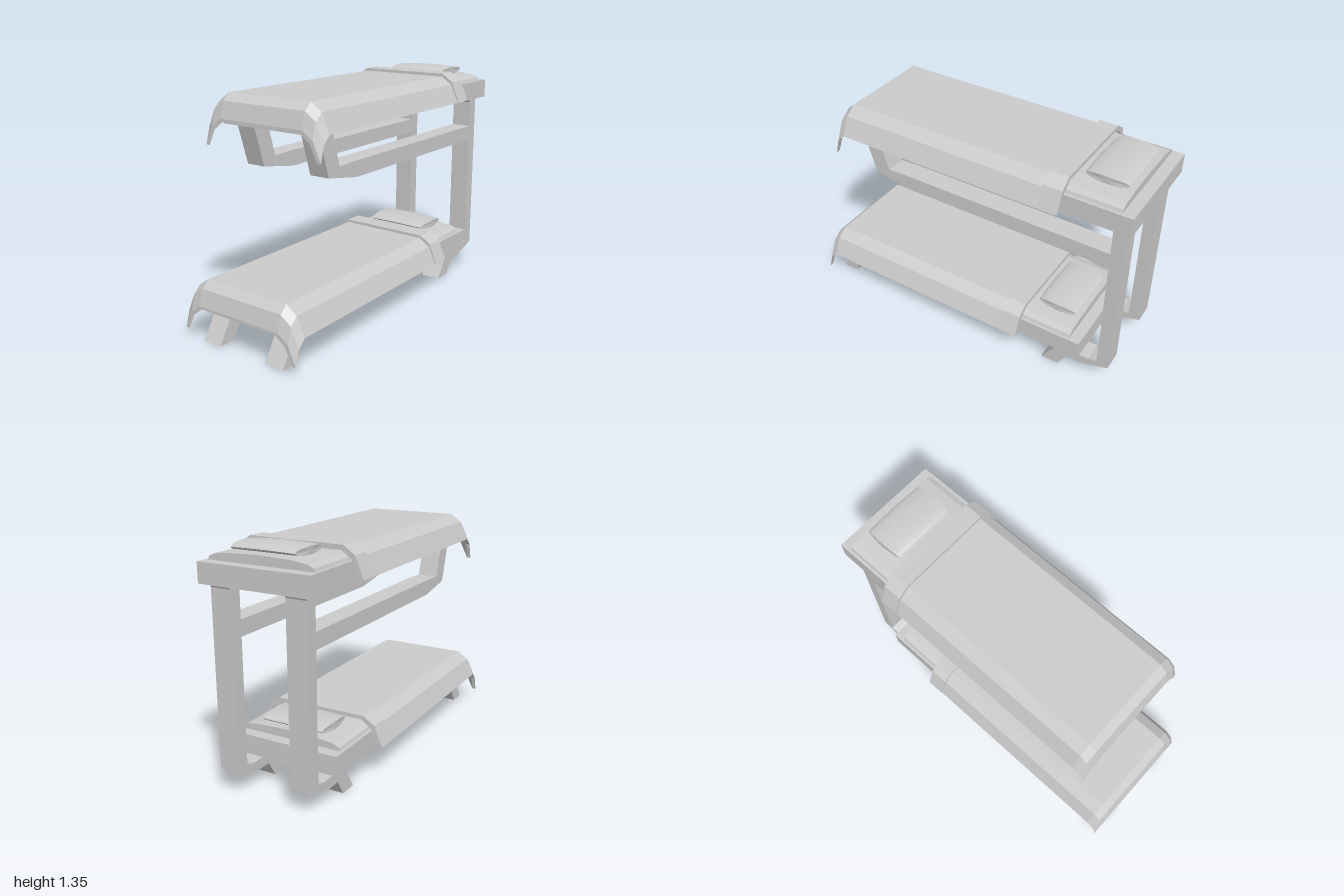
import * as THREE from 'three';

const material = new THREE.MeshStandardMaterial({ color: 0xcccccc, flatShading: true, side: THREE.DoubleSide });

function addMesh(parent, name, geometry, x = 0, y = 0, z = 0) {
  const mesh = new THREE.Mesh(geometry, material);
  mesh.name = name;
  mesh.position.set(x, y, z);
  parent.add(mesh);
  return mesh;
}

// Side outline in x/y, extruded through z and centred on z = 0.
function extrudeOutline(points, depth) {
  const shape = new THREE.Shape(points.map(([x, y]) => new THREE.Vector2(x, y)));
  return new THREE.ExtrudeGeometry(shape, { depth, bevelEnabled: false }).translate(0, 0, -depth / 2);
}

// Draped cloth with thickness: the drops along x and z add up, so the corners hang lowest.
function drapedCloth(columns, halfProfile, top, thickness) {
  const rows = [...halfProfile].reverse().concat(halfProfile.map(([z, drop]) => [-z, drop]));
  const n = rows.length;
  const loop = 2 * n;
  const positions = [];
  const index = [];
  for (const [x, dropX] of columns) {
    for (const [z, drop] of rows) positions.push(x, top - dropX - drop, z);
    for (let i = n - 1; i >= 0; i--) {
      const hem = i === 0 || i === n - 1;
      positions.push(x, top - dropX - rows[i][1] - (hem ? 0 : thickness), rows[i][0] * 0.94);
    }
  }
  for (let c = 0; c < columns.length - 1; c++) {
    for (let i = 0; i < loop; i++) {
      const a = c * loop + i;
      const b = c * loop + (i + 1) % loop;
      index.push(a, a + loop, b, b, a + loop, b + loop);
    }
  }
  // Close the two ends between the outer and inner skins.
  const last = (columns.length - 1) * loop;
  for (let i = 0; i < n - 1; i++) {
    const o0 = i, o1 = i + 1, in0 = loop - 1 - i, in1 = loop - 2 - i;
    index.push(o0, o1, in0, o1, in1, in0);
    index.push(last + o0, last + in0, last + o1, last + o1, last + in0, last + in1);
  }
  const geometry = new THREE.BufferGeometry();
  geometry.setAttribute('position', new THREE.Float32BufferAttribute(positions, 3));
  geometry.setIndex(index);
  geometry.computeVertexNormals();
  return geometry;
}

// Lens-shaped cushion that tapers and sags slightly towards its ends.
function pillowGeometry() {
  const geometry = new THREE.CylinderGeometry(1, 1, 2, 20, 6).rotateX(Math.PI / 2);
  const p = geometry.attributes.position;
  for (let i = 0; i < p.count; i++) {
    const x = p.getX(i), y = p.getY(i), z = p.getZ(i);
    const zz = z * z;
    p.setXYZ(i, x * (0.123 - 0.006 * zz), y * (0.025 - 0.004 * zz) - 0.004 * zz, z * (0.195 - 0.01 * x * x));
  }
  geometry.computeVertexNormals();
  return geometry;
}

function createBed(name) {
  const bed = new THREE.Group();
  bed.name = name;

  addMesh(bed, 'bedBase', new THREE.BoxGeometry(1.715, 0.11, 0.65), -0.0725, 0.225, 0);

  // Mattress with a softly crowned top
  const half = [[0.31, 0], [0.302, 0.02], [0.27, 0.035], [0.18, 0.046]];
  const crown = [...half, [0, 0.052], ...half.map(([z, y]) => [-z, y]).reverse()];
  const mattress = extrudeOutline(crown, 1.6).rotateY(Math.PI / 2);
  addMesh(bed, 'mattress', mattress, -0.08, 0.278, 0);

  // Blanket hanging over both sides and the foot
  const blanketColumns = [[-1, 0.13], [-0.975, 0.04], [-0.93, 0], [0.4, 0]];
  const sideProfile = [[0.275, 0], [0.34, 0.045], [0.388, 0.15]];
  addMesh(bed, 'blanket', drapedCloth(blanketColumns, sideProfile, 0.34, 0.015));

  // Folded-back strip at the head of the blanket
  const foldProfile = [[0.278, 0], [0.345, 0.045], [0.392, 0.16]];
  addMesh(bed, 'blanketFold', drapedCloth([[0.31, 0], [0.42, 0]], foldProfile, 0.357, 0.022));

  addMesh(bed, 'pillow', pillowGeometry(), 0.578, 0.352, 0);
  return bed;
}

export function createModel() {
  const model = new THREE.Group();
  model.name = 'bunkBed';

  const lowerBed = createBed('lowerBed');
  const upperBed = createBed('upperBed');
  upperBed.position.set(0.21, 0.97, 0);
  model.add(lowerBed, upperBed);

  // One-piece side support: front foot, post, rail and upturned rail end
  const support = extrudeOutline([
    [0.54, 0], [0.645, 0], [0.7, 0.09], [0.785, 0.09], [0.955, 0.145],
    [0.955, 1.12], [0.965, 1.14], [0.85, 1.14], [0.885, 1.11], [0.885, 0.955],
    [-0.4, 0.955], [-0.505, 0.95], [-0.56, 1.14], [-0.665, 1.14], [-0.595, 0.905],
    [-0.36, 0.865], [0.885, 0.865], [0.885, 0.165], [0.835, 0.15], [0.75, 0.15],
    [0.74, 0.17], [0.655, 0.17],
  ], 0.12);
  const footLeg = extrudeOutline([[-0.975, 0], [-0.875, 0], [-0.77, 0.172], [-0.87, 0.172]], 0.12);

  for (const [side, z] of [['left', 0.22], ['right', -0.22]]) {
    addMesh(model, `${side}Support`, support, 0, 0, z);
    addMesh(model, `${side}FootLeg`, footLeg, 0, 0, z);
  }
  return model;
}
